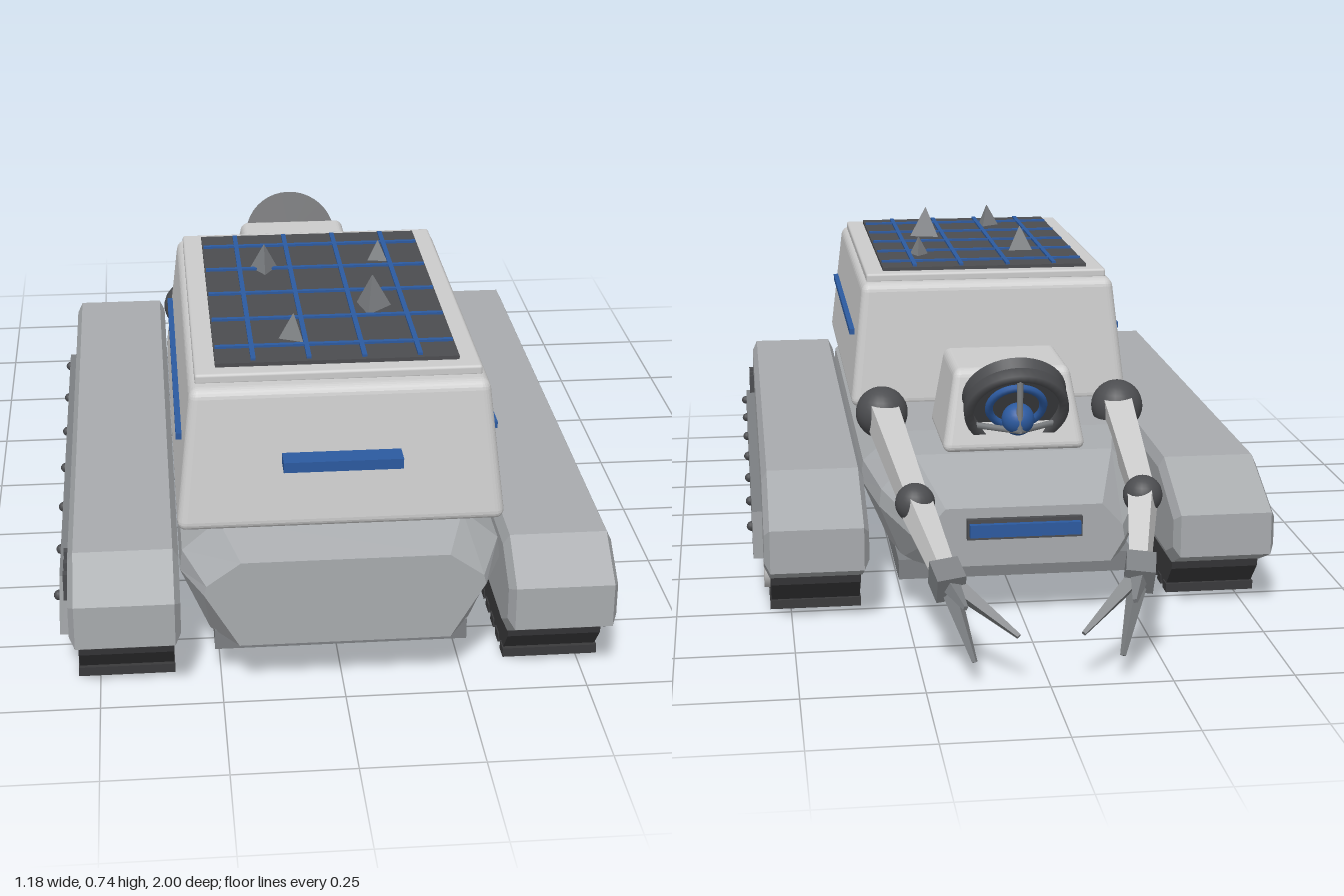
import * as THREE from 'three';
import { RoundedBoxGeometry } from 'three/addons/geometries/RoundedBoxGeometry.js';

const mat = (color) => new THREE.MeshStandardMaterial({ color });
const light = mat(0xcccccc), hullGrey = mat(0xa8abae), mid = mat(0x7c7f82);
const dark = mat(0x4c4d50), black = mat(0x3a3a3c), blue = mat(0x2c5aa0);
const V = (x, y, z) => new THREE.Vector3(x, y, z);

function add(parent, name, geometry, material, x = 0, y = 0, z = 0) {
  const m = new THREE.Mesh(geometry, material);
  m.name = name;
  m.position.set(x, y, z);
  parent.add(m);
  return m;
}

const box = (p, name, m, w, h, d, x, y, z) => add(p, name, new THREE.BoxGeometry(w, h, d), m, x, y, z);

// Side outline of [z, y] points given a width along x
function prism(points, width, bevelX = 0, bevelZY = 0) {
  const shape = new THREE.Shape(points.map(([z, y]) => new THREE.Vector2(z, y)));
  const g = new THREE.ExtrudeGeometry(shape, {
    depth: width - 2 * bevelX, bevelEnabled: bevelX > 0, bevelSegments: 1,
    bevelThickness: bevelX, bevelSize: bevelZY, bevelOffset: -bevelZY,
  });
  g.translate(0, 0, bevelX - width / 2);
  return g.rotateY(-Math.PI / 2);
}

// Rounded box narrowing from its base to its top, with separate shift in z
function taperedBox(w, h, d, topX, topZ, shiftZ, radius) {
  const g = new RoundedBoxGeometry(w, h, d, 3, radius);
  const p = g.attributes.position;
  for (let i = 0; i < p.count; i++) {
    const t = p.getY(i) / h + 0.5;
    p.setX(i, p.getX(i) * (1 + (topX - 1) * t));
    p.setZ(i, p.getZ(i) * (1 + (topZ - 1) * t) + shiftZ * t);
  }
  g.computeVertexNormals();
  return g;
}

// Bar between two points, tapering from r1 to r2
function strut(parent, name, a, b, r1, r2, material, sides = 4) {
  const dir = b.clone().sub(a);
  const g = new THREE.CylinderGeometry(r2, r1, dir.length(), sides);
  if (sides === 4) g.rotateY(Math.PI / 4);
  const m = add(parent, name, sides < 6 ? g.toNonIndexed() : g, material);
  if (sides < 6) m.geometry.computeVertexNormals();
  m.position.copy(a).add(b).multiplyScalar(0.5);
  m.quaternion.setFromUnitVectors(V(0, 1, 0), dir.normalize());
  return m;
}

// Flat-faced skin over mirrored cross-sections: [z, [x, y] from bottom to top]
function loft(sections) {
  const rings = sections.map(([z, half]) => [
    ...half.map(([x, y]) => V(x, y, z)),
    ...half.slice().reverse().map(([x, y]) => V(-x, y, z)),
  ]);
  const n = rings[0].length, pts = [];
  for (let s = 0; s < rings.length - 1; s++) {
    const a = rings[s], b = rings[s + 1];
    for (let i = 0; i < n; i++) {
      const j = (i + 1) % n;
      pts.push(a[i], b[i], b[j], a[i], b[j], a[j]);
    }
  }
  const first = rings[0], last = rings[rings.length - 1];
  for (let i = 1; i < n - 1; i++) {
    pts.push(first[0], first[i], first[i + 1], last[0], last[i + 1], last[i]);
  }
  const g = new THREE.BufferGeometry().setFromPoints(pts);
  g.computeVertexNormals();
  return g;
}

// Track pod; side is +1 or -1
function trackPod(side) {
  const pod = new THREE.Group();
  pod.name = side > 0 ? 'leftTrack' : 'rightTrack';
  const x = side * 0.445;
  add(pod, 'fender', prism([[0.92, 0.09], [1, 0.14], [1, 0.235], [0.9, 0.305], [-0.43, 0.305],
    [-0.62, 0.225], [-0.62, 0.13], [-0.53, 0.09]], 0.225, 0.012, 0.025), hullGrey, x);
  add(pod, 'trackBelt', prism([[0.92, 0.11], [0.91, 0.07], [0.86, 0.01], [-0.46, 0.01],
    [-0.52, 0.07], [-0.53, 0.11]], 0.195), black, x);
  for (let i = 0; i < 23; i++) box(pod, 'trackPad', black, 0.2, 0.02, 0.035, x, 0.01, 0.86 - i * 0.06);
  for (let i = 0; i < 5; i++) {
    const wheel = new THREE.CylinderGeometry(0.05, 0.05, 0.02, 24).rotateZ(Math.PI / 2);
    add(pod, 'roadWheel', wheel, light, side * 0.546, 0.065, 0.78 - i * 0.286);
  }
  // Side armour with bolts and vents
  add(pod, 'sidePlate', prism([[0.89, 0.11], [0.79, 0.19], [-0.36, 0.19], [-0.45, 0.11]], 0.025),
    mid, side * 0.567);
  for (let i = 0; i < 7; i++) {
    add(pod, 'bolt', new THREE.SphereGeometry(0.011, 10, 8), dark, side * 0.581, 0.157, 0.81 - i * 0.195);
  }
  for (let i = 0; i < 3; i++) box(pod, 'vent', dark, 0.016, 0.06, 0.016, side * 0.561, 0.207, 0.86 - i * 0.048);
  return pod;
}

// Folding arm with a three-finger claw
function arm(side) {
  const g = new THREE.Group();
  g.name = side > 0 ? 'leftArm' : 'rightArm';
  const shoulder = V(side * 0.275, 0.375, -0.22), elbow = V(side * 0.242, 0.3, -0.695);
  const wrist = V(side * 0.197, 0.2, -0.9);
  const ball = (name, p, r) => add(g, name, new THREE.SphereGeometry(r, 24, 16), dark, p.x, p.y, p.z);
  ball('shoulderJoint', shoulder, 0.06);
  ball('elbowJoint', elbow, 0.042);
  strut(g, 'upperArm', shoulder, elbow, 0.046, 0.034, light);
  strut(g, 'forearm', elbow, wrist, 0.038, 0.025, light);
  box(g, 'wrist', mid, 0.06, 0.06, 0.06, wrist.x, wrist.y, wrist.z).rotation.set(-0.45, side * 0.2, 0);
  const tips = [V(side * 0.065, 0.11, -1), V(side * 0.15, 0.05, -0.975), V(side * 0.17, 0.17, -0.99)];
  tips.forEach((tip) => strut(g, 'claw', wrist.clone().lerp(tip, 0.12), tip, 0.021, 0.006, mid));
  return g;
}

export function createModel() {
  const model = new THREE.Group();
  model.name = 'trackedRover';

  // Faceted hull and belly plate
  const full = [[0.27, 0.1], [0.33, 0.24], [0.325, 0.285], [0.25, 0.35]];
  add(model, 'hull', loft([
    [0.98, [[0.215, 0.12], [0.285, 0.24], [0.28, 0.26], [0.21, 0.31]]],
    [0.87, full],
    [-0.3, full],
    [-0.45, [[0.25, 0.1], [0.3, 0.22], [0.295, 0.26], [0.22, 0.335]]],
    [-0.62, [[0.19, 0.13], [0.22, 0.18], [0.215, 0.21], [0.17, 0.26]]],
  ]), hullGrey);
  box(model, 'bellyPlate', mid, 0.524, 0.045, 1.4, 0, 0.0875, 0.2);
  box(model, 'noseLampHousing', dark, 0.25, 0.045, 0.03, 0, 0.215, -0.618);
  box(model, 'noseLamp', blue, 0.24, 0.028, 0.02, 0, 0.215, -0.636);

  // Main superstructure
  add(model, 'superstructure', taperedBox(0.67, 0.295, 0.94, 0.9, 0.92, -0.005, 0.02), light, 0, 0.4875, 0.432);
  add(model, 'roofSlab', new RoundedBoxGeometry(0.58, 0.022, 0.8, 2, 0.006), light, 0, 0.642, 0.425);
  box(model, 'roofPanel', dark, 0.495, 0.012, 0.73, 0, 0.655, 0.425);
  for (let i = 0; i < 4; i++) box(model, 'gridBarLong', blue, 0.01, 0.008, 0.71, -0.17 + i * 0.113, 0.662, 0.425);
  for (let i = 0; i < 5; i++) box(model, 'gridBarCross', blue, 0.49, 0.008, 0.01, 0, 0.662, 0.135 + i * 0.144);
  [[-0.115, 0.28, 0.72], [0.145, 0.235, 0.705], [0.1, 0.52, 0.735], [-0.08, 0.67, 0.715]].forEach(([x, z, y], i) => {
    const h = y - 0.655;
    strut(model, 'roofSpike', V(x, 0.655, z), V(x, y, z), h * 0.58, 0.001, mid, 3).rotateY(i * 0.9);
  });
  for (const s of [1, -1]) box(model, 'sideStripe', blue, 0.012, 0.014, 0.73, s * 0.324, 0.505, 0.43);
  box(model, 'frontStripe', blue, 0.24, 0.022, 0.06, 0, 0.49, 0.895);

  // Sensor cabin at the nose
  add(model, 'sensorCabin', taperedBox(0.32, 0.18, 0.29, 0.8, 0.78, 0.015, 0.018), light, 0, 0.43, -0.325);

  // Tilted dish with a focal ball on three struts
  const dish = new THREE.Group();
  dish.name = 'dish';
  add(dish, 'dishBack', new THREE.CylinderGeometry(0.105, 0.115, 0.035, 40), dark, 0, -0.008);
  add(dish, 'dishRim', new THREE.LatheGeometry([[0.095, 0.005], [0.115, 0.005], [0.115, 0.03], [0.095, 0.03], [0.095, 0.005]]
    .map(([x, y]) => new THREE.Vector2(x, y)), 40), dark).material = dark;
  add(dish, 'dishRing', new THREE.TorusGeometry(0.06, 0.009, 8, 32).rotateX(Math.PI / 2), blue, 0, 0.014);
  add(dish, 'focalBall', new THREE.SphereGeometry(0.036, 20, 14), blue, 0, 0.05);
  for (let i = 0; i < 3; i++) {
    const a = Math.PI / 2 + i * Math.PI * 2 / 3;
    strut(dish, 'dishStrut', V(Math.cos(a) * 0.1, 0.02, Math.sin(a) * 0.1), V(0, 0.085, 0), 0.007, 0.007, mid, 8);
  }
  dish.position.set(0, 0.455, -0.475);
  dish.quaternion.setFromUnitVectors(V(0, 1, 0), V(0, -0.56, -0.83).normalize());
  model.add(dish);

  for (const side of [1, -1]) model.add(trackPod(side), arm(side));
  return model;
}
